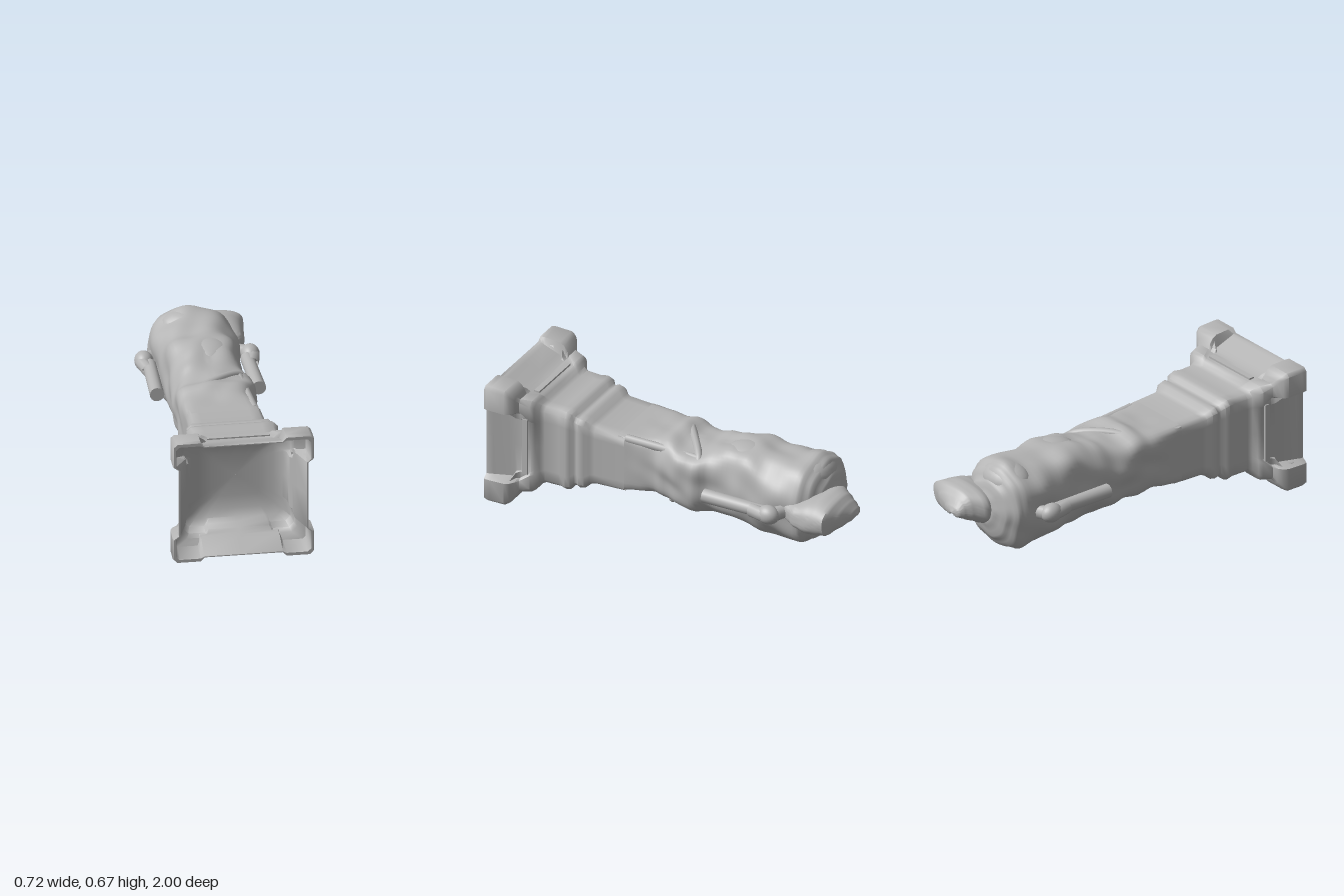
import * as THREE from 'three';
import { toCreasedNormals } from 'three/addons/utils/BufferGeometryUtils.js';

const stone = new THREE.MeshStandardMaterial({ color: 0xb4b4b4, side: THREE.DoubleSide });
stone.name = 'grey stone';
const CY = 0.335; // height of the pillar axis

// Skin over a list of closed rings with equal point counts
function skin(rings, crease) {
  const seg = rings[0].length, idx = [];
  for (let i = 0; i < rings.length - 1; i++) {
    for (let j = 0; j < seg; j++) {
      const k = (j + 1) % seg, a = i * seg + j, b = i * seg + k, d = a + seg, e = b + seg;
      idx.push(a, d, b, b, d, e);
    }
  }
  const g = new THREE.BufferGeometry();
  g.setAttribute('position', new THREE.Float32BufferAttribute(rings.flat(2), 3));
  g.setIndex(idx);
  return toCreasedNormals(g, crease);
}

// Rounded-square ring from [z, x0, x1, y0, y1, squareness], with radial bumps
function roundRing([z, x0, x1, y0, y1, n], bump) {
  return Array.from({ length: 72 }, (_, j) => {
    const t = (j / 72) * Math.PI * 2, c = Math.cos(t), s = Math.sin(t);
    const r = (1 + bump(t, z)) / Math.pow(Math.abs(c) ** n + Math.abs(s) ** n, 1 / n);
    return [(x0 + x1) / 2 + (r * c * (x1 - x0)) / 2, (y0 + y1) / 2 + (r * s * (y1 - y0)) / 2, z];
  });
}

// Square ring with projecting corners: [z, half width, half height, corner half width, corner half height]
function earRing([z, w, h, ew = w, eh = h]) {
  const wide = w > 0.275; // sections through the corner feet
  const sx = wide ? 0.2 : 0.6 * w, sy = wide ? 0.185 : 0.57 * h;
  const c = (wide ? 0.055 : 0.1) * w, m = 0.06 * w;
  const quarter = [[w, 0], [w, sy], [ew, sy + m], [ew, eh - c], [ew - c, eh], [sx + m, eh], [sx, h], [0, h]];
  const top = [...quarter, ...quarter.slice(0, -1).reverse().map(([x, y]) => [-x, y])];
  const all = [...top, ...top.slice(1, -1).reverse().map(([x, y]) => [x, -y])];
  return all.map(([x, y]) => [x, CY + y, z]);
}

// Insert smooth in-between sections
function refine(rows, steps = 4) {
  const out = [];
  for (let i = 0; i < rows.length - 1; i++)
    for (let k = 0; k < steps; k++) {
      const u = k / steps, w = u * u * (3 - 2 * u);
      out.push(rows[i].map((v, m) => v + (rows[i + 1][m] - v) * (m ? w : u)));
    }
  out.push(rows[rows.length - 1]);
  return out;
}

export function createModel() {
  const model = new THREE.Group();
  const add = (name, geo, parent = model) => {
    const m = new THREE.Mesh(geo, stone);
    m.name = name;
    parent.add(m);
    return m;
  };
  const tube = (name, pts, r, parent) => add(name, new THREE.TubeGeometry(
    new THREE.CatmullRomCurve3(pts.map(p => new THREE.Vector3(...p))), 32, r, 10), parent);
  const ball = (name, p, s, parent) => {
    const m = add(name, new THREE.SphereGeometry(1, 24, 16), parent);
    m.position.set(...p);
    m.scale.set(...s);
  };

  // Hollow plinth with four corner feet: cavity floor, inner wall, rim, then the stepped outside
  add('plinth', skin([
    [0.71, 0.001, 0.001], [0.713, 0.12, 0.115], [0.724, 0.19, 0.18], [0.745, 0.235, 0.22],
    [0.77, 0.255, 0.237, 0.272, 0.25], [0.83, 0.258, 0.24, 0.282, 0.257], [0.85, 0.27, 0.253, 0.295, 0.275],
    [0.87, 0.278, 0.26, 0.335, 0.308], [0.99, 0.322, 0.305, 0.343, 0.315], [1, 0.324, 0.307, 0.346, 0.317],
    [1, 0.33, 0.312, 0.357, 0.333], [0.985, 0.33, 0.312, 0.36, 0.335], [0.965, 0.322, 0.304, 0.36, 0.335],
    [0.885, 0.292, 0.275, 0.358, 0.333], [0.86, 0.284, 0.266, 0.345, 0.318], [0.842, 0.28, 0.262, 0.318, 0.292],
    [0.83, 0.278, 0.26, 0.296, 0.271], [0.775, 0.272, 0.254, 0.287, 0.266], [0.757, 0.262, 0.246, 0.272, 0.254],
    [0.742, 0.242, 0.23], [0.72, 0.229, 0.222], [0.64, 0.226, 0.221], [0.6, 0.234, 0.225],
    [0.575, 0.23, 0.218], [0.56, 0.212, 0.2], [0.545, 0.212, 0.195], [0.53, 0.222, 0.2],
    [0.5, 0.218, 0.195], [0.475, 0.2, 0.173], [0.45, 0.196, 0.165], [0.28, 0.19, 0.16],
  ].map(earRing), 0.9));

  // Raised moulding on each side of the plinth
  for (let i = 0; i < 4; i++) {
    const a = (i * Math.PI) / 2, out = i % 2 ? 0.277 : 0.259;
    const bar = add('plinthMoulding', new THREE.BoxGeometry(0.32, 0.014, 0.03));
    bar.position.set(-Math.sin(a) * out, CY + Math.cos(a) * out, 0.805);
    bar.rotation.z = a;
  }

  // Draped shaft and torso
  const folds = (t, z) => {
    const k = THREE.MathUtils.smoothstep(0.3 - z, 0, 0.25);
    return k * (0.022 * Math.sin(5 * t + 9 * z) + 0.018 * Math.sin(8 * t - 17 * z + 1)
      + 0.014 * Math.sin(3 * t + 31 * z));
  };
  add('drapedBody', skin(refine([
    [0.32, -0.192, 0.188, 0.175, 0.498, 16], [0.22, -0.195, 0.182, 0.18, 0.498, 9],
    [0.12, -0.198, 0.18, 0.19, 0.505, 5.5], [0.05, -0.2, 0.195, 0.175, 0.525, 4.2],
    [-0.04, -0.2, 0.22, 0.178, 0.5, 3.8], [-0.12, -0.198, 0.218, 0.15, 0.503, 3.3],
    [-0.2, -0.195, 0.18, 0.143, 0.525, 3], [-0.3, -0.197, 0.182, 0.138, 0.55, 2.8],
    [-0.4, -0.205, 0.195, 0.128, 0.565, 2.7], [-0.5, -0.212, 0.205, 0.12, 0.545, 2.7],
    [-0.62, -0.228, 0.212, 0.12, 0.555, 2.7], [-0.72, -0.235, 0.205, 0.115, 0.57, 2.6],
    [-0.77, -0.222, 0.17, 0.135, 0.55, 2.4], [-0.81, -0.17, 0.12, 0.185, 0.49, 2.2],
    [-0.835, -0.09, 0.06, 0.26, 0.42, 2], [-0.842, -0.015, -0.01, 0.339, 0.341, 2],
  ]).map(r => roundRing(r, folds)), 0.9));

  // Edge of the cloak wrapping diagonally around the shaft, with a hanging fold
  tube('cloakEdge', [[-0.175, 0.36, 0.14], [-0.155, 0.465, 0.1], [0, 0.5, -0.02], [0.145, 0.465, -0.13],
    [0.18, 0.4, -0.14], [0.187, 0.28, -0.08], [0.155, 0.2, 0.02]], 0.022);
  tube('hangingFold', [[0.142, 0.465, -0.12], [0.15, 0.472, 0.05], [0.163, 0.478, 0.28]], 0.022);

  // Head piece at the far end, hollowed underneath
  const hollow = (t, z) => 0.02 * Math.sin(4 * t + 20 * z) - 0.6 * Math.exp(-(((t - 4.71) / 0.45) ** 2));
  add('head', skin(refine([
    [-0.62, 0.06, 0.18, 0.3, 0.4, 2.5], [-0.69, 0.03, 0.235, 0.285, 0.405, 2.6],
    [-0.74, -0.02, 0.262, 0.27, 0.415, 2.6], [-0.81, -0.06, 0.27, 0.25, 0.44, 2.8],
    [-0.86, -0.08, 0.272, 0.25, 0.452, 2.8], [-0.92, -0.035, 0.28, 0.275, 0.445, 2.8],
    [-0.955, -0.015, 0.2, 0.3, 0.415, 2.5], [-0.985, 0, 0.11, 0.32, 0.38, 2.2],
    [-1, 0.045, 0.05, 0.348, 0.352, 2],
  ], 3).map(r => roundRing(r, hollow)), 0.9));

  // Stub arms with rods hanging beside the torso
  for (const s of [1, -1]) {
    const arm = new THREE.Group();
    arm.name = s > 0 ? 'leftArm' : 'rightArm';
    tube('armLink', [[s * 0.16, 0.345, -0.67], [s * 0.22, 0.345, -0.645], [s * 0.28, 0.345, -0.61],
      [s * 0.262, 0.34, -0.5]], 0.036, arm);
    ball('elbow', [s * 0.272, 0.345, -0.605], [0.048, 0.05, 0.06], arm);
    const rod = add('rod', toCreasedNormals(new THREE.CylinderGeometry(0.035, 0.037, 0.34, 16), 0.6), arm);
    rod.rotation.x = -Math.PI / 2;
    rod.rotation.z = s * 0.03;
    rod.position.set(s * 0.255, 0.34, -0.395);
    model.add(arm);
  }

  // Rounded lumps of cloth and hair
  ball('chestFold', [0.02, 0.49, -0.36], [0.12, 0.07, 0.14]);
  ball('hairTop', [-0.03, 0.48, -0.7], [0.15, 0.09, 0.11]);
  return model;
}
